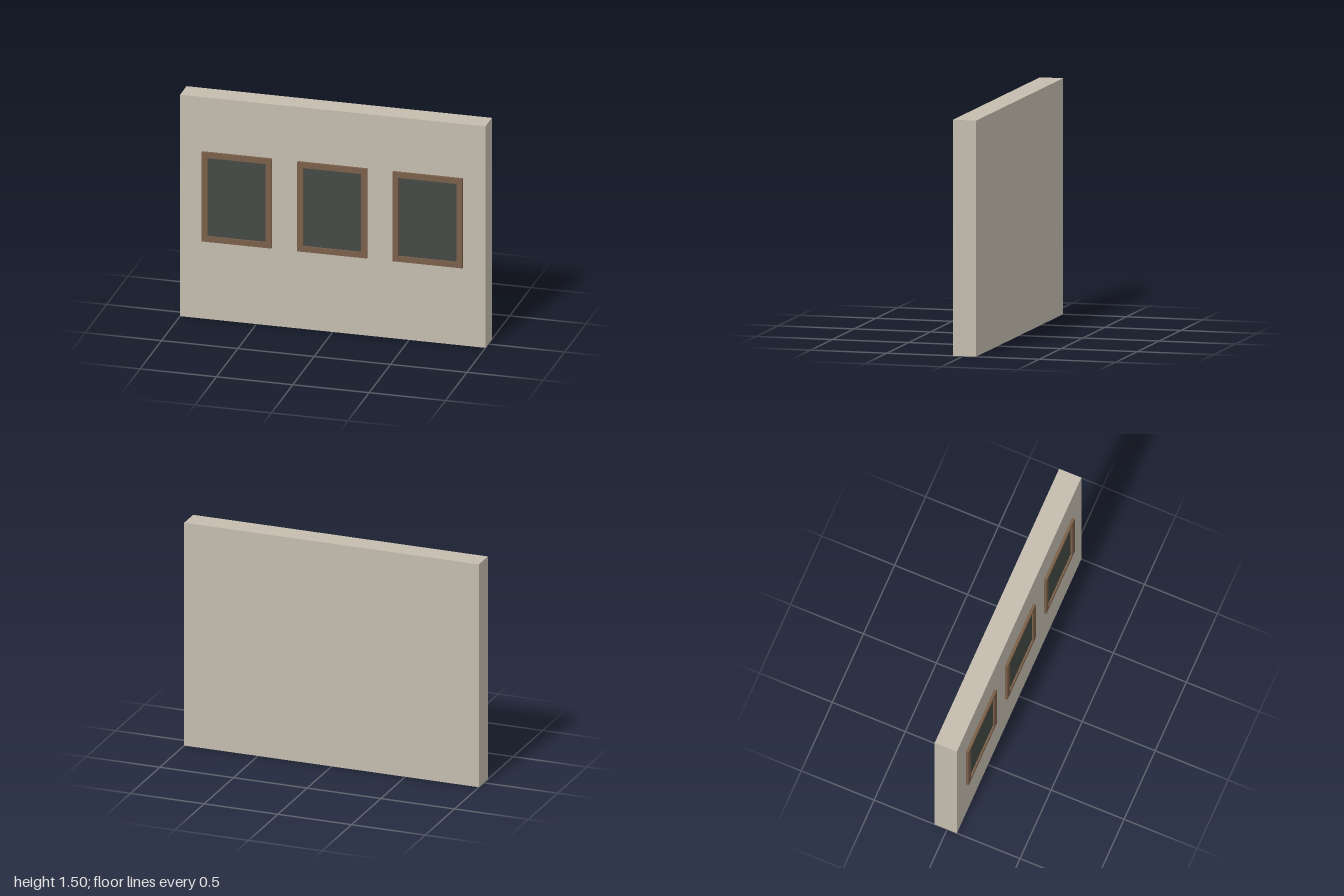
import * as THREE from 'three';

const plaster = new THREE.MeshStandardMaterial({ name: 'plaster', color: 0xc4bcae });
const wood = new THREE.MeshStandardMaterial({ name: 'brown wood', color: 0x7a5f49 });
const glass = new THREE.MeshStandardMaterial({ name: 'dark glass', color: 0x444a46 });

const WALL_FRONT = 0.067;
const FRAME = { w: 0.456, h: 0.606, depth: 0.018, border: 0.037 };

function rectangle(PathType, w, h) {
  const p = new PathType();
  p.moveTo(-w / 2, -h / 2);
  p.lineTo(w / 2, -h / 2);
  p.lineTo(w / 2, h / 2);
  p.lineTo(-w / 2, h / 2);
  p.closePath();
  return p;
}

function addMesh(parent, name, geometry, material, x, y, z) {
  const mesh = new THREE.Mesh(geometry, material);
  mesh.name = name;
  mesh.position.set(x, y, z);
  parent.add(mesh);
}

export function createModel() {
  const model = new THREE.Group();
  model.name = 'wallWithWindows';

  // Solid wall slab
  addMesh(model, 'wall', new THREE.BoxGeometry(2, 1.503, 0.152), plaster, 0, 0.7515, WALL_FRONT - 0.076);

  // Raised frame with an open centre, and a pane set back inside it
  const innerW = FRAME.w - 2 * FRAME.border;
  const innerH = FRAME.h - 2 * FRAME.border;
  const outline = rectangle(THREE.Shape, FRAME.w, FRAME.h);
  outline.holes.push(rectangle(THREE.Path, innerW, innerH));
  const frameGeometry = new THREE.ExtrudeGeometry(outline, { depth: FRAME.depth, bevelEnabled: false });
  const paneGeometry = new THREE.BoxGeometry(innerW, innerH, 0.006);

  // Three evenly spaced windows
  for (const x of [-0.625, 0, 0.625]) {
    const unit = new THREE.Group();
    unit.name = 'window';
    unit.position.set(x, 0.833, WALL_FRONT);
    addMesh(unit, 'windowFrame', frameGeometry, wood, 0, 0, 0);
    addMesh(unit, 'windowPane', paneGeometry, glass, 0, 0, 0.003);
    model.add(unit);
  }
  return model;
}
